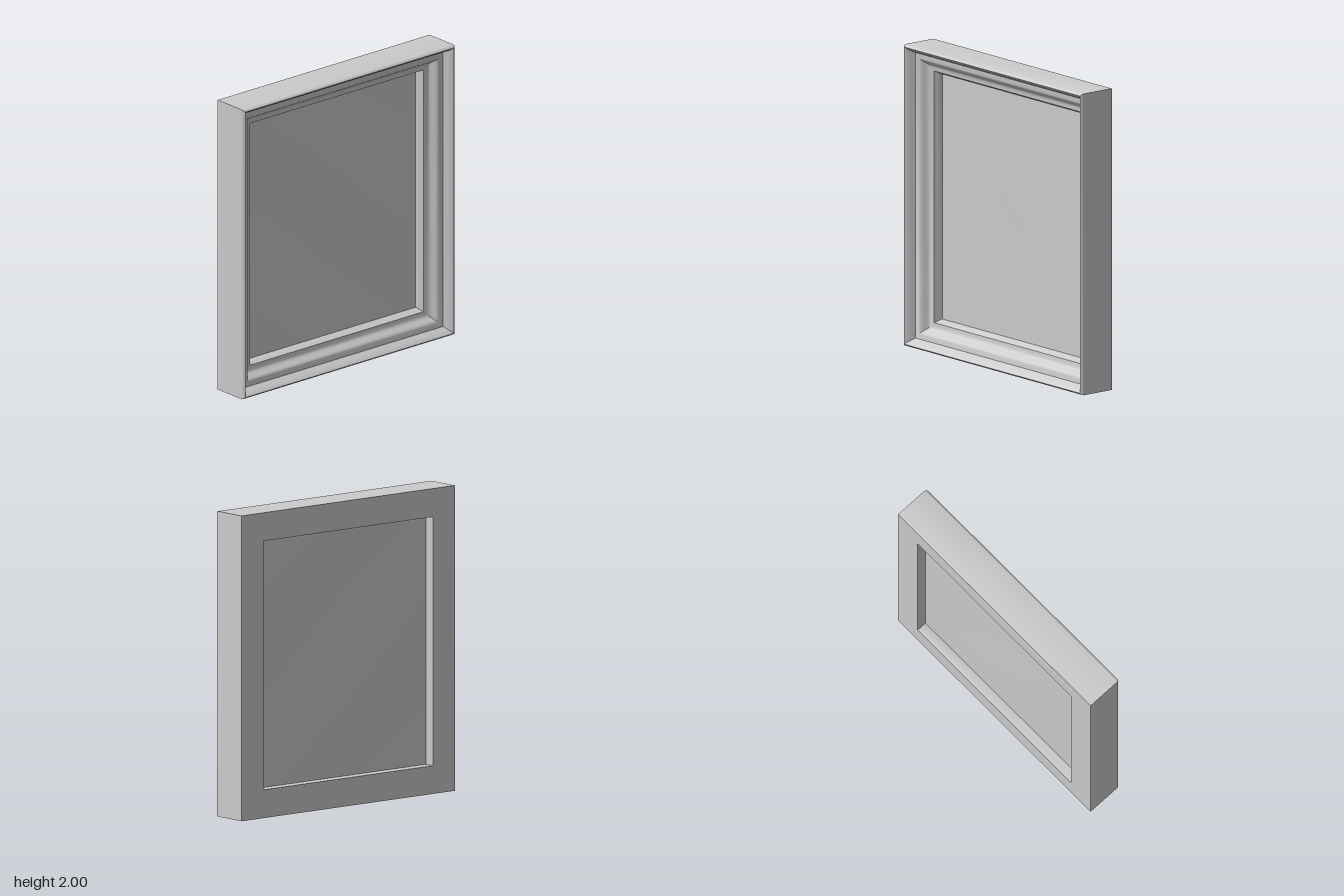
import * as THREE from 'three';
import { toCreasedNormals } from 'three/addons/utils/BufferGeometryUtils.js';

const HALF_W = 0.905, HALF_H = 1, BACK = -0.128, OPENING = 0.185;

// Moulding section as [inset from the outer edge, z], from back outer edge round to the back again
const PROFILE = [
  [0, BACK], [0, 0.108], [0.004, 0.12], [0.014, 0.128],
  [0.024, 0.118], [0.036, 0.1], [0.053, 0.066],
  [0.085, 0.062], [0.097, 0.054], [0.108, 0.04], [0.118, 0.024],
  [0.13, 0.012], [0.146, 0.005], [0.165, 0.002],
  [0.17, -0.014], [OPENING, -0.04], [OPENING, BACK], [0, BACK],
];

// Sweep the section round a rectangle with mitred corners
function mitredFrame(profile) {
  const corners = [[-1, -1], [1, -1], [1, 1], [-1, 1]];
  const point = ([inset, z], j) => {
    const [sx, sy] = corners[j % 4];
    return [sx * (HALF_W - inset), HALF_H + sy * (HALF_H - inset), z];
  };
  const positions = [];
  for (let i = 0; i < profile.length - 1; i++) {
    for (let j = 0; j < 4; j++) {
      const a = point(profile[i], j), b = point(profile[i], j + 1);
      const c = point(profile[i + 1], j + 1), d = point(profile[i + 1], j);
      positions.push(...a, ...b, ...c, ...a, ...c, ...d);
    }
  }
  const geometry = new THREE.BufferGeometry();
  geometry.setAttribute('position', new THREE.Float32BufferAttribute(positions, 3));
  return toCreasedNormals(geometry, 0.6);
}

// Thin panel with a very slight waviness
function canvasPanel() {
  const w = 2 * (HALF_W - OPENING) + 0.01, h = 2 * (HALF_H - OPENING) + 0.01;
  const geometry = new THREE.BoxGeometry(w, h, 0.006, 20, 24, 1);
  const p = geometry.attributes.position;
  for (let i = 0; i < p.count; i++) {
    const x = p.getX(i), y = p.getY(i);
    const fade = Math.cos(Math.PI * x / w) * Math.cos(Math.PI * y / h);
    p.setZ(i, p.getZ(i) + 0.003 * fade * Math.sin(4 * x + 3 * y));
  }
  geometry.computeVertexNormals();
  return geometry;
}

export function createModel() {
  const group = new THREE.Group();
  group.name = 'pictureFrame';
  const material = new THREE.MeshStandardMaterial({ color: 0xcccccc });

  const frame = new THREE.Mesh(mitredFrame(PROFILE), material);
  frame.name = 'frameMoulding';

  const canvas = new THREE.Mesh(canvasPanel(), material);
  canvas.name = 'canvas';
  canvas.position.set(0, HALF_H, -0.055);

  group.add(frame, canvas);
  return group;
}
